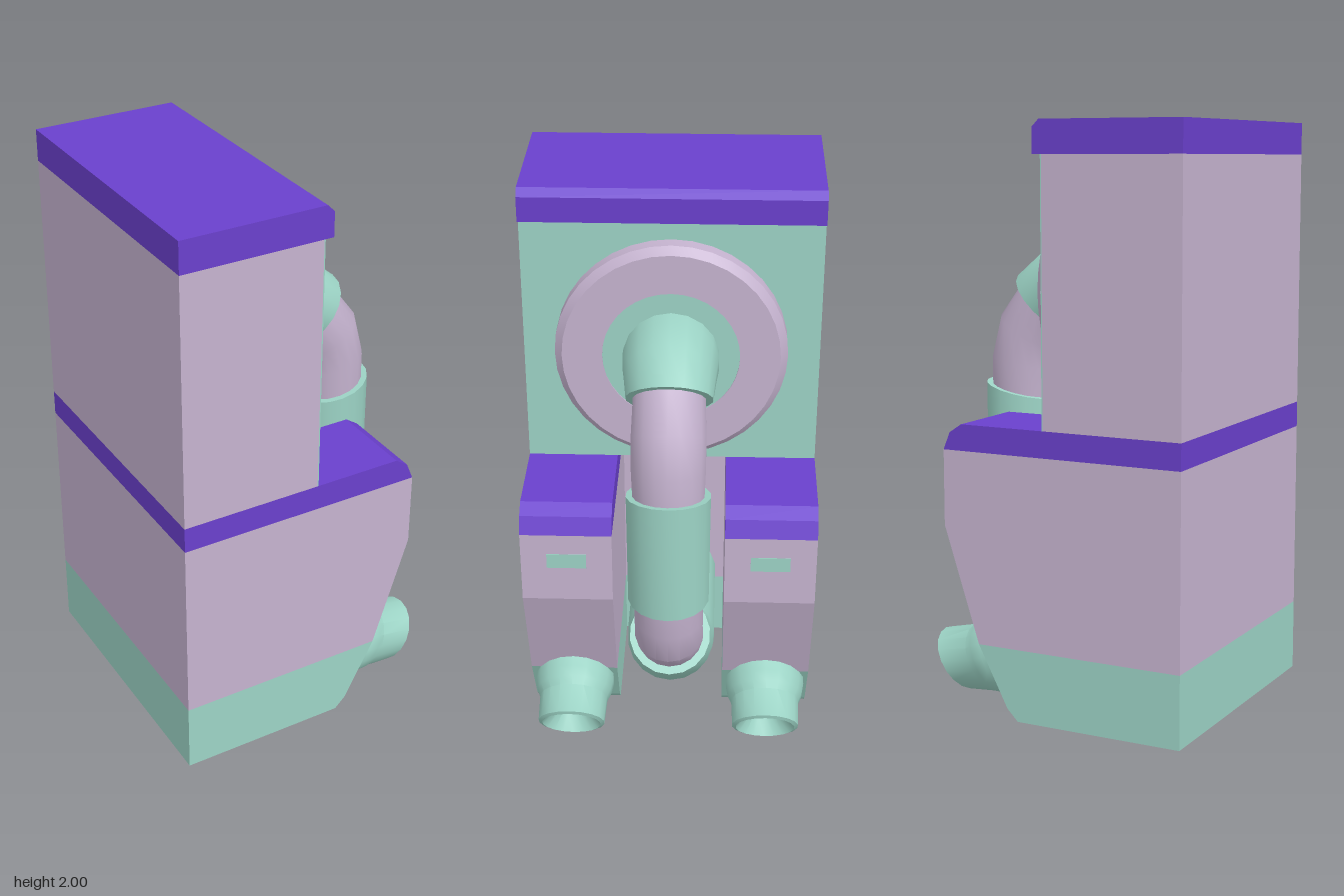
import * as THREE from 'three';
import { toCreasedNormals } from 'three/addons/utils/BufferGeometryUtils.js';

const material = (color) => new THREE.MeshStandardMaterial({ color, side: THREE.DoubleSide });

export function createModel() {
  const root = new THREE.Group();
  const purple = material(0x6a40cc), lilac = material(0xc5b3cf), mint = material(0x9cd3c5);

  function add(name, geometry, mat) {
    const mesh = new THREE.Mesh(geometry, mat);
    mesh.name = name;
    root.add(mesh);
    return mesh;
  }

  // Box from its minimum and maximum corners
  function box(name, mat, [x0, y0, z0], [x1, y1, z1]) {
    const g = new THREE.BoxGeometry(x1 - x0, y1 - y0, z1 - z0);
    add(name, g, mat).position.set((x0 + x1) / 2, (y0 + y1) / 2, (z0 + z1) / 2);
  }

  // Side profile in x and y, extruded between two z values
  function slab(name, mat, points, z0, z1) {
    const shape = new THREE.Shape(points.map(([x, y]) => new THREE.Vector2(x, y)));
    const g = new THREE.ExtrudeGeometry(shape, { depth: z1 - z0, bevelEnabled: false });
    add(name, g, mat).position.z = z0;
  }

  // Pipe through stations [x, y, direction in degrees, radius]
  function pipe(name, mat, stations, z = 0, sides = 18) {
    const pos = [], index = [];
    stations.forEach(([x, y, deg, r], i) => {
      const a = THREE.MathUtils.degToRad(deg);
      for (let j = 0; j < sides; j++) {
        const t = (j / sides) * Math.PI * 2, c = r * Math.cos(t);
        pos.push(x - Math.sin(a) * c, y + Math.cos(a) * c, z + r * Math.sin(t));
        if (i === stations.length - 1) continue;
        const p = i * sides + j, q = i * sides + (j + 1) % sides;
        index.push(p, q, p + sides, q, q + sides, p + sides);
      }
    });
    const g = new THREE.BufferGeometry();
    g.setAttribute('position', new THREE.Float32BufferAttribute(pos, 3));
    g.setIndex(index);
    add(name, toCreasedNormals(g, 0.6), mat);
  }

  // Base: three colour bands, with a deep channel between two side blocks
  const bands = [
    ['baseFoot', mint, 0, 0.25, [[0.1, 0], [0.14, 0.04], [0.25, 0.25]]],
    ['baseBody', lilac, 0.25, 0.91, [[0.25, 0.25], [0.38, 0.65], [0.38, 0.91]]],
    ['baseTrim', purple, 0.91, 1, [[0.38, 0.91], [0.355, 0.97], [0.31, 1]]],
  ];
  for (const [name, mat, y0, y1, edge] of bands) {
    const profile = [[-0.5, y0], ...edge, [-0.5, y1]];
    slab(name + 'Left', mat, profile, 0.19, 0.5);
    slab(name + 'Right', mat, profile, -0.5, -0.19);
    box(name + 'Back', mat, [-0.5, y0, -0.19], [-0.33, y1, 0.19]);
  }

  // Upper cabinet with face panel and overhanging cap
  box('cabinet', lilac, [-0.5, 1, -0.5], [-0.004, 1.89, 0.5]);
  box('cabinetFace', mint, [-0.004, 1, -0.5], [0, 1.89, 0.5]);
  slab('cabinetCap', purple,
    [[-0.5, 1.89], [0.03, 1.89], [0.03, 1.975], [0.005, 2], [-0.5, 2]], -0.5, 0.5);

  // Bevelled ring around the upper pipe mouth
  const ringProfile = [[0.23, 0], [0.38, 0], [0.39, 0.015], [0.39, 0.065], [0.365, 0.09],
    [0.23, 0.09], [0.23, 0]].map(([r, h]) => new THREE.Vector2(r, h));
  const ring = add('mouthRing', toCreasedNormals(new THREE.LatheGeometry(ringProfile, 36), 0.5), lilac);
  ring.rotation.z = -Math.PI / 2;
  ring.position.y = 1.44;
  const disc = add('mouthDisc', new THREE.CylinderGeometry(0.235, 0.235, 0.085, 36), mint);
  disc.rotation.z = -Math.PI / 2;
  disc.position.set(0.0425, 1.44, 0);

  // Bent hose from the mouth down into the channel
  pipe('upperElbow', mint, [[0.05, 1.44, 0, 0.16], [0.13, 1.435, -4, 0.162], [0.19, 1.42, -22, 0.155],
    [0.255, 1.37, -45, 0.145], [0.255, 1.37, -45, 0.11]]);
  pipe('upperHose', lilac, [[0.24, 1.385, -45, 0.12], [0.32, 1.27, -62, 0.125],
    [0.345, 1.16, -80, 0.125], [0.35, 1.02, -85, 0.12]]);
  pipe('sleeve', mint, [[0.35, 1.06, -78, 0.115], [0.35, 1.06, -78, 0.143],
    [0.35, 0.65, -92, 0.14], [0.35, 0.65, -92, 0.115]]);
  pipe('lowerHose', lilac, [[0.347, 0.68, -90, 0.118], [0.335, 0.56, -100, 0.12],
    [0.315, 0.47, -115, 0.12], [0.205, 0.375, -135, 0.12]]);
  pipe('lowerElbow', mint, [[0.22, 0.385, -135, 0.11], [0.22, 0.385, -135, 0.145],
    [0.16, 0.32, -155, 0.155], [0.09, 0.29, -175, 0.16], [-0.33, 0.285, -180, 0.16]]);

  // Mirrored nozzles and inset slots
  for (const [side, s] of [['Left', 1], ['Right', -1]]) {
    pipe('nozzle' + side, mint, [[0.19, 0.2, -27, 0.14], [0.24, 0.175, -27, 0.142],
      [0.28, 0.165, -27, 0.135], [0.31, 0.155, -26, 0.122], [0.42, 0.138, -32, 0.118],
      [0.425, 0.135, -32, 0.105], [0.36, 0.15, -32, 0.06], [0.33, 0.16, -32, 0.001]], s * 0.345);
    box('slot' + side, mint, [0.36, 0.78, s * 0.345 - 0.067], [0.382, 0.835, s * 0.345 + 0.067]);
  }

  return root;
}
